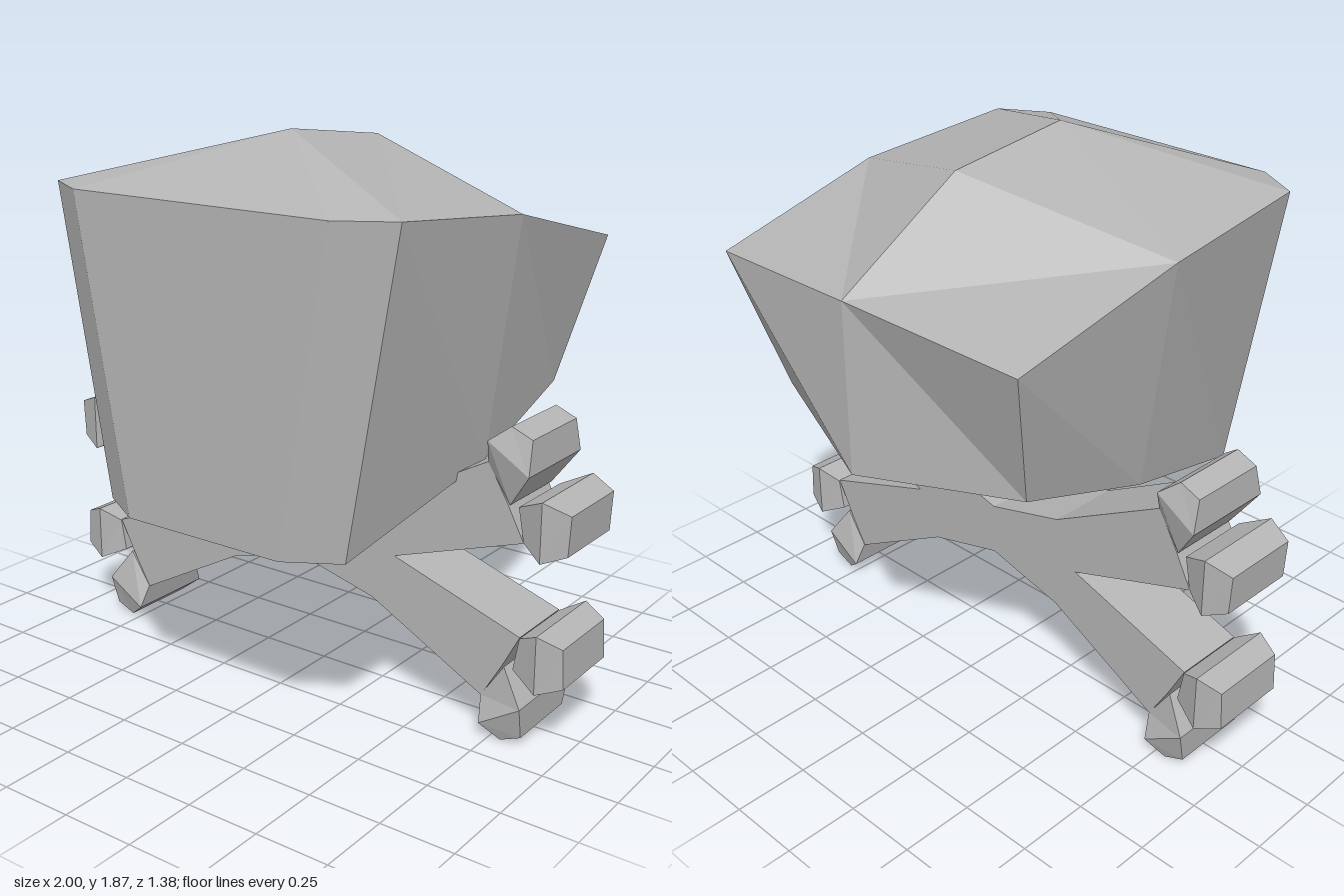
import * as THREE from 'three';

const boneGrey = new THREE.MeshStandardMaterial({ color: 0xb4b4b4, flatShading: true });
boneGrey.name = 'boneGrey';

// Faceted solid from corner points and counter-clockwise faces
function facetedMesh(name, points, faces) {
  const pos = [];
  for (const f of faces)
    for (let i = 1; i < f.length - 1; i++)
      for (const k of [f[0], f[i], f[i + 1]]) pos.push(...points[k]);
  const geo = new THREE.BufferGeometry();
  geo.setAttribute('position', new THREE.Float32BufferAttribute(pos, 3));
  geo.computeVertexNormals();
  const mesh = new THREE.Mesh(geo, boneGrey);
  mesh.name = name;
  return mesh;
}

// Skull: an upper and a lower rim, each closed by a ridged cap
function makeSkull() {
  const rim = (half, backCentre) => [
    ...half,
    backCentre,
    ...half.slice().reverse().map(([x, y, z]) => [-x, y, z]),
  ];
  const upper = rim(
    [[0.475, 1.695, 0.69], [0.643, 1.695, 0.59], [0.677, 1.64, 0], [0.652, 1.485, -0.63]],
    [0, 1.53, -0.69]);
  const lower = rim(
    [[0.295, 0.68, 0.69], [0.465, 0.68, 0.59], [0.575, 0.86, 0], [0.55, 1.0, -0.49]],
    [0, 0.95, -0.69]);
  const ridges = [[0, 1.865, 0.23], [0, 1.81, -0.23], [0, 0.70, 0.33], [0, 0.86, -0.23]];
  const cap = (o, a, b) => [
    [a, 7 + o, 8 + o, o, 1 + o], [1 + o, 2 + o, b, a], [2 + o, 3 + o, 4 + o, b],
    [4 + o, 5 + o, 6 + o, b], [6 + o, 7 + o, a, b],
  ];
  const faces = [...cap(0, 18, 19), ...cap(9, 20, 21).map((f) => f.reverse())];
  for (let i = 0; i < 9; i++) {
    const j = (i + 1) % 9;
    faces.push([i, i + 9, j + 9, j]);
  }
  const skull = facetedMesh('skull', [...upper, ...lower, ...ridges], faces);
  skull.position.x = 0.047;
  return skull;
}

// Knob: hexagonal prism along z whose ends rise to a ridge across the middle
function makeKnob(name, outline) {
  const depth = [0.13, 0.165, 0.138, 0.138, 0.165, 0.13];
  const pts = outline.map(([x, y]) => new THREE.Vector2(x, y));
  if (THREE.ShapeUtils.area(pts) < 0) pts.reverse();
  const points = [
    ...pts.map((p, i) => [p.x, p.y, depth[i]]),
    ...pts.map((p, i) => [p.x, p.y, -depth[i]]),
  ];
  const faces = [[0, 1, 4, 5], [1, 2, 3, 4], [11, 10, 7, 6], [10, 9, 8, 7]];
  for (let i = 0; i < 6; i++) {
    const j = (i + 1) % 6;
    faces.push([i, i + 6, j + 6, j]);
  }
  return facetedMesh(name, points, faces);
}

// Crossed shafts: one quarter of the outline mirrored around the crossing
function makeShafts(midY) {
  const quarter = [[0.375, 0], [0.84, 0.155], [0.78, 0.27], [0.71, 0.39], [0.29, 0.165], [0, 0.09]];
  const half = [...quarter, ...quarter.slice(0, 5).reverse().map(([x, y]) => [-x, y])];
  const full = [...half, ...half.slice(1, -1).reverse().map(([x, y]) => [x, -y])];
  const shape = new THREE.Shape(full.map(([x, y]) => new THREE.Vector2(x, y)));
  const geo = new THREE.ExtrudeGeometry(shape, { depth: 0.256, bevelEnabled: false });
  geo.translate(0, midY, -0.128);
  const mesh = new THREE.Mesh(geo, boneGrey);
  mesh.name = 'crossedShafts';
  return mesh;
}

export function createModel() {
  const model = new THREE.Group();
  model.name = 'skullAndCrossedBones';
  model.add(makeSkull());

  const midY = 0.518;
  const bones = new THREE.Group();
  bones.name = 'crossedBones';
  bones.add(makeShafts(midY));

  // Two knobs on each bone end, given for the lower left end
  const knobs = {
    outerKnob: [[0.84, 0.36], [0.915, 0.4], [0.993, 0.368], [1, 0.238], [0.915, 0.205], [0.82, 0.25]],
    innerKnob: [[0.79, 0.25], [0.868, 0.138], [0.862, 0.03], [0.79, 0], [0.725, 0.05], [0.71, 0.13]],
  };
  for (const sx of [1, -1])
    for (const up of [false, true])
      for (const [part, outline] of Object.entries(knobs)) {
        const name = part + (up ? 'Upper' : 'Lower') + (sx > 0 ? 'Left' : 'Right');
        bones.add(makeKnob(name, outline.map(([x, y]) => [x * sx, up ? 2 * midY - y : y])));
      }
  model.add(bones);
  return model;
}
